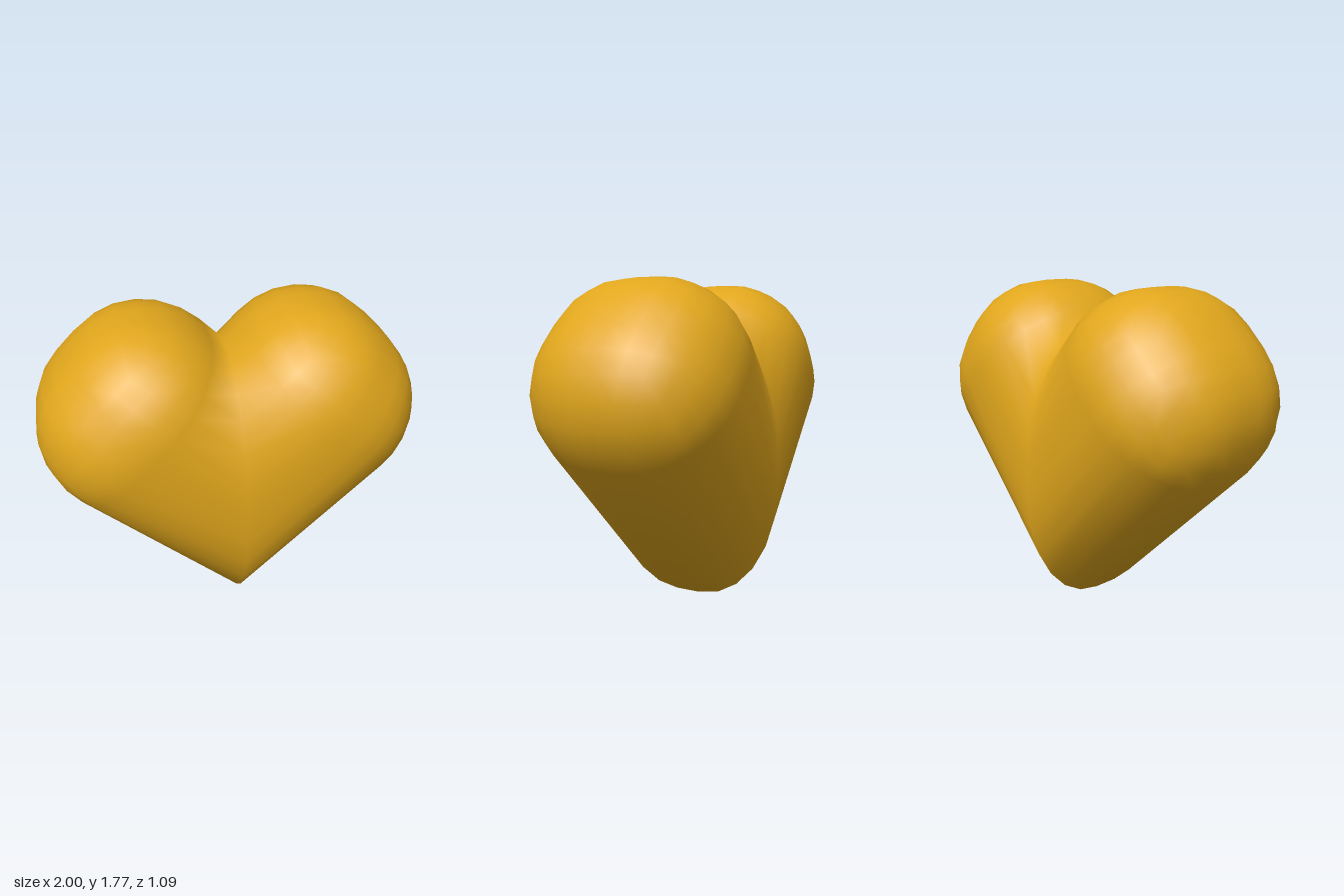
import * as THREE from 'three';
import { mergeGeometries, mergeVertices } from 'three/addons/utils/BufferGeometryUtils.js';

const HALF = 0.545;         // half width of a lobe
const FLAT = 0.071;         // half width of its flat faces
const ROUND = HALF - FLAT;  // edge radius
const REACH = 0.603;        // distance along the lobe axis to the centre of its cap
const N = 7;                // divisions per face of the rounded cube

// Rounded bar leaning 45 degrees, its lower end mitred on the plane x = 0
function lobeGeometry(side) {
  const box = new THREE.BoxGeometry(2, 2, 2, N, N, N);
  const p = box.attributes.position;
  const buried = [];
  const v = new THREE.Vector3();
  // equal-angle steps from the middle of a face to its edge
  const bend = (c) => Math.sign(c) * Math.tan(Math.round((Math.abs(c) * N - 1) / 2) * Math.PI / 12);

  for (let i = 0; i < p.count; i++) {
    const c = new THREE.Vector3().fromBufferAttribute(p, i);
    buried.push(c.y < -1.5 / N);
    v.set(bend(c.x), bend(c.y), bend(c.z)).setLength(ROUND);
    v.x += Math.sign(c.x) * FLAT;
    v.y += Math.sign(c.y) * FLAT + REACH;
    v.z += Math.sign(c.z) * FLAT;
    if (c.y < 0) v.y = -v.x; // slide the lower ring onto the mitre plane
    p.setXYZ(i, v.x, v.y, v.z);
  }

  // leave the mitred end open, and turn the faces round on the mirrored side
  const index = [];
  for (let i = 0; i < box.index.count; i += 3) {
    const [a, b, c] = [0, 1, 2].map((k) => box.index.getX(i + k));
    if (buried[a] || buried[b] || buried[c]) continue;
    index.push(...(side > 0 ? [a, b, c] : [a, c, b]));
  }
  box.setIndex(index);
  box.clearGroups();
  box.deleteAttribute('normal');
  box.deleteAttribute('uv');
  box.rotateZ(-Math.PI / 4);
  box.translate(0, HALF * Math.SQRT2, 0);
  box.scale(side, 1, 1);
  return box;
}

export function createModel() {
  const group = new THREE.Group();
  group.name = 'heart';

  // both lobes welded along the middle so the shading flows across the seam
  const geometry = mergeVertices(mergeGeometries([lobeGeometry(1), lobeGeometry(-1)]), 1e-4);
  geometry.computeVertexNormals();

  const body = new THREE.Mesh(geometry, new THREE.MeshStandardMaterial({ color: 0xe0a61c }));
  body.name = 'heartBody';
  group.add(body);
  return group;
}
